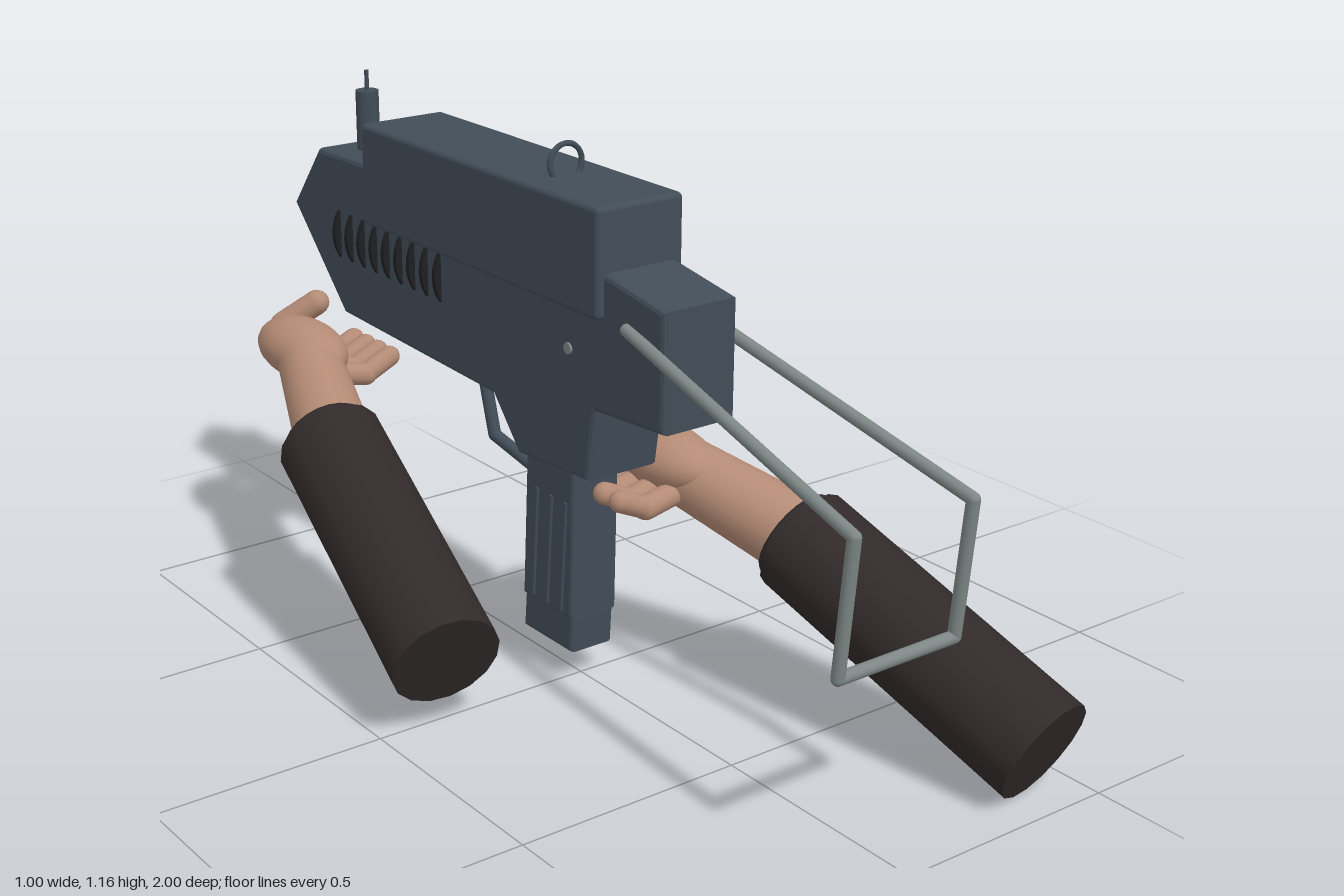
import * as THREE from 'three';
import { RoundedBoxGeometry } from 'three/addons/geometries/RoundedBoxGeometry.js';

const mat = (name, color) => {
  const m = new THREE.MeshStandardMaterial({ color });
  m.name = name;
  return m;
};
const V = (a) => new THREE.Vector3(...a);

export function createModel() {
  const model = new THREE.Group();
  model.name = 'blasterWithArms';
  const gunmetal = mat('gunmetal', 0x424d58);
  const steel = mat('steel', 0x7d8785);
  const skin = mat('skin', 0xb48b75);
  const sleeveCloth = mat('sleeveCloth', 0x322a2a);
  const black = mat('black', 0x1f2022);
  const portBrown = mat('portBrown', 0x43302b);

  const add = (parent, name, geometry, material, pos = [0, 0, 0]) => {
    const m = new THREE.Mesh(geometry, material);
    m.name = name;
    m.position.set(...pos);
    parent.add(m);
    return m;
  };
  // Stretches a y-axis geometry made for the given length between two points
  const aim = (mesh, a, b) => {
    const d = V(b).sub(V(a));
    mesh.position.copy(V(a).add(V(b)).multiplyScalar(0.5));
    mesh.quaternion.setFromUnitVectors(new THREE.Vector3(0, 1, 0), d.normalize());
    return mesh;
  };
  const dist = (a, b) => V(a).distanceTo(V(b));
  const rod = (parent, name, a, b, rA, rB, material, seg = 16) =>
    aim(add(parent, name, new THREE.CylinderGeometry(rB, rA, dist(a, b), seg), material), a, b);
  const capsule = (parent, name, a, b, r, material) =>
    aim(add(parent, name, new THREE.CapsuleGeometry(r, dist(a, b), 5, 14), material), a, b);

  // Side profile of [z, y] points extruded across x with bevelled edges
  const slab = (name, points, halfWidth, bevel) => {
    const shape = new THREE.Shape(points.map(([z, y]) => new THREE.Vector2(-z, y)));
    const g = new THREE.ExtrudeGeometry(shape, {
      depth: 2 * (halfWidth - bevel), bevelSize: bevel, bevelThickness: bevel,
      bevelOffset: -bevel, bevelSegments: 2,
    });
    g.translate(0, 0, -(halfWidth - bevel));
    g.rotateY(Math.PI / 2);
    return add(model, name, g, gunmetal);
  };

  // Receiver, cover and grip
  slab('receiver', [
    [0.38, 0.68], [0.165, 0.665], [0.14, 0.51], [-0.1, 0.495], [-0.19, 0.6], [-0.79, 0.62],
    [-1, 0.835], [-0.88, 0.985], [-0.66, 0.99], [0.19, 0.955], [0.38, 0.925],
  ], 0.088, 0.01);
  add(model, 'topCover', new RoundedBoxGeometry(0.21, 0.225, 0.86, 2, 0.012), gunmetal, [0, 0.973, -0.235]);
  slab('grip', [[0.055, 0.55], [0.045, 0.16], [-0.13, 0.16], [-0.11, 0.55]], 0.058, 0.008);
  slab('magazineBase', [[0.045, 0.2], [0.037, 0.08], [-0.135, 0.08], [-0.125, 0.2]], 0.053, 0.008);
  for (const side of [-1, 1]) {
    for (let i = 0; i < 3; i++) {
      const z = 0.028 - i * 0.05;
      rod(model, 'gripRidge', [side * 0.057, 0.42, z], [side * 0.057, 0.17, z - 0.018], 0.006, 0.006, gunmetal, 8);
    }
  }

  // Cooling fins: thin discs breaking through both flanks
  for (let i = 0; i < 9; i++) {
    const z = -0.385 - i * 0.0515;
    rod(model, 'coolingFin', [0, 0.805, z - 0.006], [0, 0.805, z + 0.006], 0.104, 0.104, black, 32);
  }

  // Ejection port, bolt plate, charging handle and pins
  add(model, 'ejectionPort', new THREE.BoxGeometry(0.008, 0.05, 0.21), portBrown, [0.09, 0.84, -0.328]);
  add(model, 'boltPlate', new THREE.BoxGeometry(0.009, 0.03, 0.18), steel, [0.106, 0.877, -0.3]);
  rod(model, 'chargingHandle', [0.09, 0.895, -0.36], [0.2, 0.895, -0.36], 0.017, 0.017, gunmetal);
  for (const [y, z] of [[0.775, 0.08], [0.805, -0.55]])
    rod(model, 'pin', [-0.093, y, z], [0.093, y, z], 0.012, 0.012, steel, 10);

  // Sights and muzzle
  add(model, 'rearSightRing', new THREE.TorusGeometry(0.039, 0.006, 8, 28), gunmetal, [0, 1.109, -0.05]);
  rod(model, 'frontSightPost', [0, 0.97, -0.805], [0, 1.12, -0.805], 0.026, 0.026, gunmetal);
  rod(model, 'frontSightPin', [0, 1.11, -0.805], [0, 1.165, -0.805], 0.005, 0.005, gunmetal, 8);
  rod(model, 'muzzle', [0, 0.897, -0.85], [0, 0.897, -0.978], 0.047, 0.047, steel, 24);

  // Trigger and its guard
  capsule(model, 'trigger', [0, 0.6, -0.205], [0, 0.51, -0.165], 0.011, steel);
  const guard = [[0, 0.41, -0.09], [0, 0.45, -0.315], [0, 0.585, -0.355]];
  for (let i = 0; i < 2; i++) capsule(model, 'triggerGuard', guard[i], guard[i + 1], 0.014, gunmetal);

  // Folding wire stock
  for (const s of [-1, 1]) {
    capsule(model, 'stockArm', [s * 0.091, 0.863, 0.27], [s * 0.14, 0.695, 0.963], 0.013, steel);
    capsule(model, 'stockUpright', [s * 0.14, 0.695, 0.963], [s * 0.14, 0.42, 0.938], 0.013, steel);
  }
  rod(model, 'stockCrossbar', [-0.14, 0.42, 0.938], [0.14, 0.42, 0.938], 0.013, 0.013, steel);

  // Arms: the left side is built directly, the other is mirrored and moved forward
  const buildArm = (name, s, dy, dz) => {
    const arm = new THREE.Group();
    arm.name = name;
    model.add(arm);
    const p = (x, y, z) => [s * x, y + dy, z + dz];
    const back = p(0.387, 0.112, 0.955), cuff = p(0.29, 0.366, 0.36);
    rod(arm, 'sleeve', back, cuff, 0.116, 0.116, sleeveCloth);
    const ring = new THREE.TorusGeometry(0.092, 0.012, 8, 24);
    ring.rotateX(Math.PI / 2);
    const ringMesh = aim(add(arm, 'cuffRing', ring, sleeveCloth), back, cuff);
    ringMesh.position.set(...p(0.288, 0.37, 0.35));
    rod(arm, 'forearm', p(0.29, 0.367, 0.38), p(0.185, 0.463, 0.09), 0.086, 0.072, skin, 20);

    const palm = new THREE.SphereGeometry(1, 24, 16);
    palm.scale(0.083, 0.068, 0.148);
    add(arm, 'palm', palm, skin, p(0.178, 0.477, 0.05));
    capsule(arm, 'thumb', p(0.165, 0.5, -0.065), p(0.1, 0.555, -0.015), 0.029, skin);
    // Fingers curl inward under the palm
    for (let i = 0; i < 4; i++) {
      const z = 0.135 - i * 0.053;
      capsule(arm, 'fingerBase', p(0.16, 0.435, z), p(0.065, 0.415, z), 0.026, skin);
      capsule(arm, 'fingerTip', p(0.065, 0.415, z), p(0, 0.445, z), 0.024, skin);
    }
  };
  buildArm('leftArm', 1, 0, 0);
  buildArm('rightArm', -1, 0.065, -0.88);

  return model;
}
